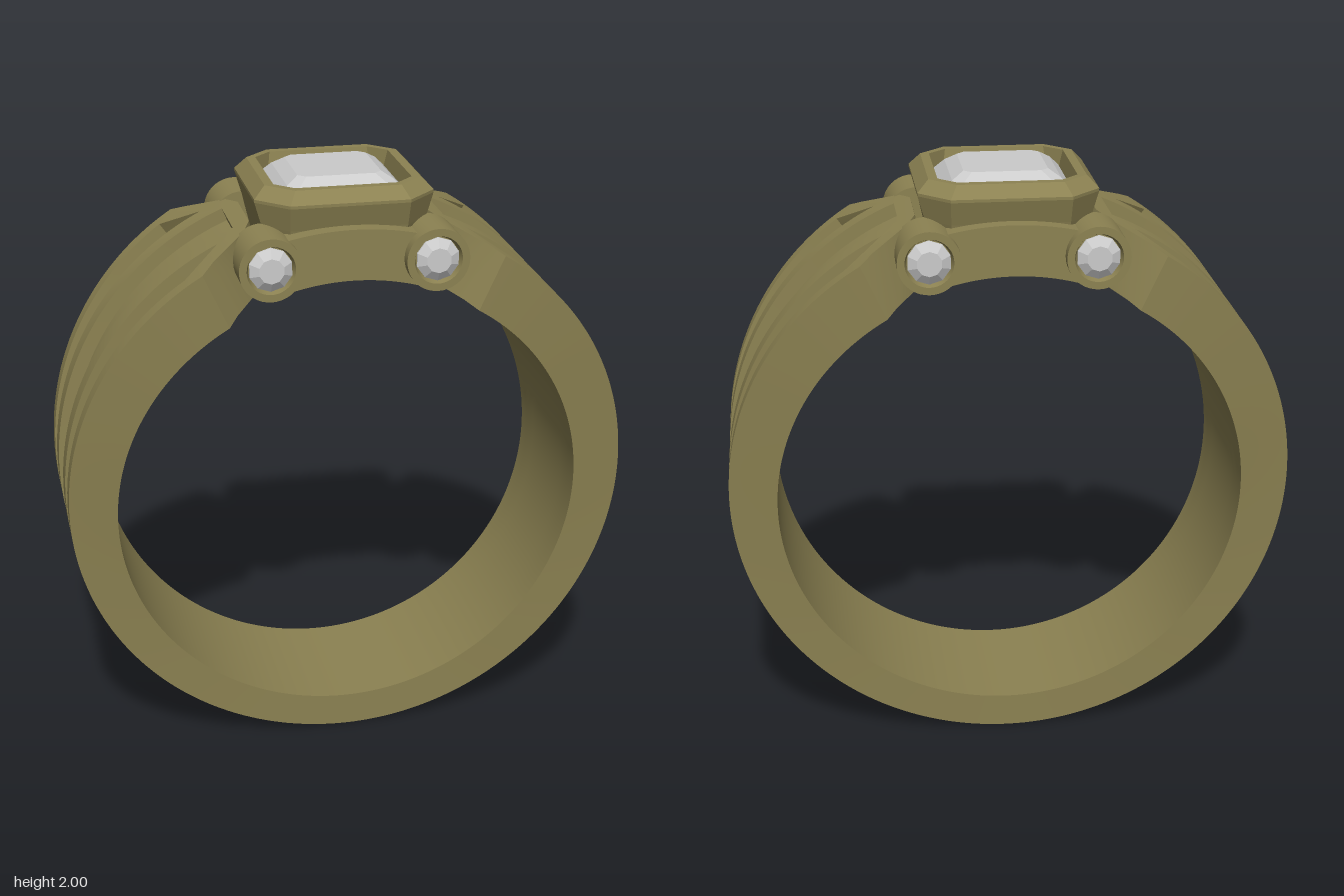
import * as THREE from 'three';
import { toCreasedNormals } from 'three/addons/utils/BufferGeometryUtils.js';

const metal = new THREE.MeshStandardMaterial({ color: 0x8c8252 });
const stone = new THREE.MeshStandardMaterial({ color: 0xcccccc, flatShading: true });
const rad = THREE.MathUtils.degToRad;

// Collects quads as triangles, dropping any that collapse to a line
function quadBuilder() {
  const pos = [];
  const tri = (a, b, c) => {
    if (new THREE.Triangle(a, b, c).getArea() > 1e-9) for (const p of [a, b, c]) pos.push(p.x, p.y, p.z);
  };
  return {
    quad(a, b, c, d, flip = false) {
      if (flip) [b, d] = [d, b];
      tri(a, b, c);
      tri(a, c, d);
    },
    geometry() {
      const g = new THREE.BufferGeometry();
      g.setAttribute('position', new THREE.Float32BufferAttribute(pos, 3));
      g.computeVertexNormals();
      return g;
    },
  };
}

// Band surfaces: inner bore, groove floor and outer face, each its own circle
const circles = { inner: [0.907, 0.792], floor: [0.952, 0.907], outer: [0.952, 0.952] };

// Lines along the band: half-width by height, end angle, groove start angle (degrees from the top)
const edge = { z: y => 0.255 + 0.03 * y + 0.022 * y * y, end: 31.5, groove: 36.5 };
const rimIn = { z: y => 0.205 + 0.01 * y + 0.03 * y * y, end: 28.5, groove: 35 };
const ribOut = { z: y => 0.135 + 0.03 * y, end: 20.5, groove: 26.2 };
const ribIn = { z: y => 0.055 + 0.031 * y, end: 18.5, groove: 22 };
const half = [[edge, 'outer'], [rimIn, 'outer'], [rimIn, 'floor'], [ribOut, 'floor'],
  [ribOut, 'outer'], [ribIn, 'outer'], [ribIn, 'floor']];
const profile = [...half.map(h => [...h, 1]), ...half.slice().reverse().map(h => [...h, -1])];
const GROOVE_END = 156.5;

function bandPoint(deg, level, line, sx, sz) {
  const [cy, r] = circles[level];
  const a = rad(deg);
  const y = circles.outer[0] + circles.outer[1] * Math.cos(a);
  return new THREE.Vector3(sx * r * Math.sin(a), cy + r * Math.cos(a), sz * line.z(y));
}

// Band half from shoulder to base: solid, grooved, solid
function bandGeometry(sx) {
  const b = quadBuilder(), flip = sx < 0;
  const outer = [], inner = [];
  [[0, 4], [1, 72], [2, 14]].forEach(([seg, steps]) => {
    for (let i = 0; i <= steps; i++) {
      const o = [], n = [];
      for (const [line, level, sz] of profile) {
        const stops = [line.end, line.groove, GROOVE_END, 180];
        const deg = THREE.MathUtils.lerp(stops[seg], stops[seg + 1], i / steps);
        o.push(bandPoint(deg, seg === 1 ? level : 'outer', line, sx, sz));
        n.push(bandPoint(deg, 'inner', line, sx, sz));
      }
      outer.push(o);
      inner.push(n);
    }
  });
  const last = profile.length - 1;
  for (let i = 0; i < outer.length - 1; i++) {
    const [o, p, n, m] = [outer[i], outer[i + 1], inner[i], inner[i + 1]];
    for (let k = 0; k < last; k++) {
      b.quad(o[k], p[k], p[k + 1], o[k + 1], flip);
      b.quad(n[k], m[k], m[k + 1], n[k + 1], !flip);
    }
    b.quad(o[0], n[0], m[0], p[0], flip);
    b.quad(o[last], n[last], m[last], p[last], !flip);
  }
  for (let k = 0; k < last; k++) b.quad(outer[0][k], outer[0][k + 1], inner[0][k + 1], inner[0][k], flip);
  return toCreasedNormals(b.geometry(), 0.5);
}

// Square loops with clipped corners, [half-size, corner cut, height], skinned in order
function clippedLoft(levels, close) {
  const b = quadBuilder();
  const rings = levels.map(([h, c, y]) => [[h, c - h], [h, h - c], [h - c, h], [c - h, h],
    [-h, h - c], [-h, c - h], [c - h, -h], [h - c, -h]].map(([x, z]) => new THREE.Vector3(x, y, -z)));
  if (close) rings.push(rings[0]);
  for (let i = 0; i < rings.length - 1; i++) {
    for (let j = 0; j < 8; j++) {
      const k = (j + 1) % 8;
      b.quad(rings[i][j], rings[i][k], rings[i + 1][k], rings[i + 1][j]);
    }
  }
  return b.geometry();
}

function lathe(points, segments) {
  return new THREE.LatheGeometry(points.map(p => new THREE.Vector2(...p)), segments);
}

// Arched rail joining the two shoulders
function railGeometry() {
  const s = new THREE.Shape();
  const cy = 0.907, spread = rad(17);
  s.absarc(0, cy, 0.963, Math.PI / 2 - spread, Math.PI / 2 + spread, false);
  s.absarc(0, cy, 0.792, Math.PI / 2 + spread, Math.PI / 2 - spread, true);
  const g = new THREE.ExtrudeGeometry(s, { depth: 0.11, bevelEnabled: false, curveSegments: 24 });
  return toCreasedNormals(g, 0.5);
}

export function createModel() {
  const model = new THREE.Group();
  const add = (name, geometry, material, parent = model) => {
    const mesh = new THREE.Mesh(geometry, material);
    mesh.name = name;
    parent.add(mesh);
    return mesh;
  };

  add('leftBand', bandGeometry(1), metal);
  add('rightBand', bandGeometry(-1), metal);

  // Setting: bezel frame with an open base
  add('bezel', clippedLoft([
    [0.25, 0.07, 1.75], [0.275, 0.08, 1.86], [0.298, 0.1, 1.94], [0.298, 0.1, 1.95],
    [0.26, 0.085, 1.99], [0.23, 0.06, 1.99], [0.218, 0.04, 1.93], [0.215, 0.04, 1.89], [0.17, 0.03, 1.75],
  ], true), metal);

  // Step-cut centre stone
  add('centreStone', clippedLoft([
    [0, 0, 1.76], [0.1, 0.02, 1.79], [0.17, 0.03, 1.86], [0.214, 0.04, 1.92],
    [0.214, 0.04, 1.94], [0.18, 0.035, 1.975], [0.14, 0.025, 2], [0, 0, 2],
  ], false), stone);

  const rail = railGeometry();
  const barrel = toCreasedNormals(lathe([[0, 0.19], [0.105, 0.19], [0.105, 0.37],
    [0.08, 0.37], [0.072, 0.345], [0, 0.345]], 40), 0.5);
  const sideStone = lathe([[0, 0.3], [0.073, 0.352], [0.073, 0.358], [0.042, 0.378], [0, 0.378]], 10);

  for (const sz of [1, -1]) {
    const side = sz > 0 ? 'front' : 'back';
    add(side + 'Rail', rail, metal).position.z = sz > 0 ? 0.22 : -0.33;
    for (const sx of [1, -1]) {
      const holder = new THREE.Group();
      holder.name = side + (sx > 0 ? 'Left' : 'Right') + 'Holder';
      holder.position.set(sx * 0.275, 1.763, 0);
      holder.rotation.x = sz * Math.PI / 2;
      add('barrel', barrel, metal, holder);
      add('sideStone', sideStone, stone, holder);
      model.add(holder);
    }
  }
  return model;
}
